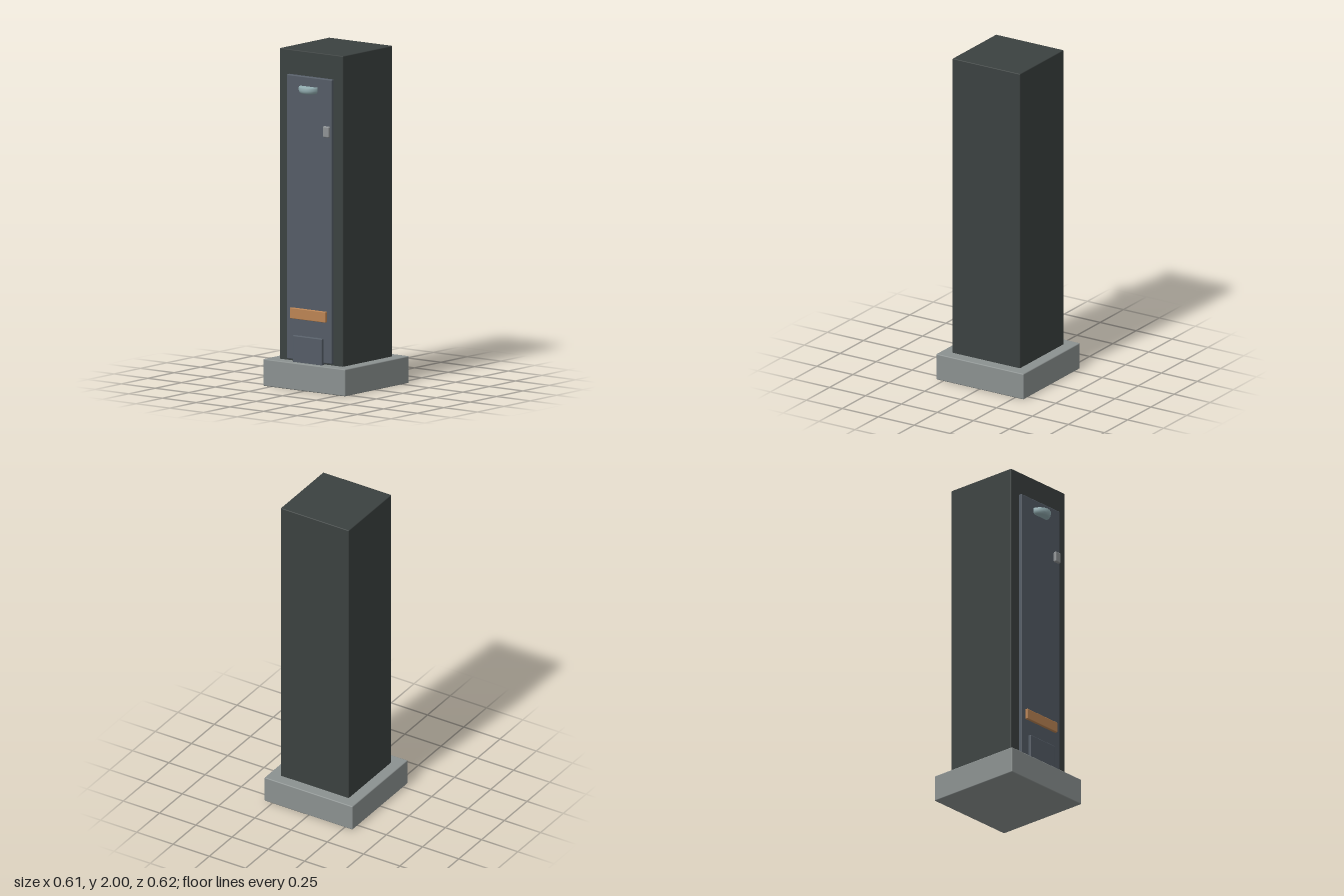
import * as THREE from 'three';
import { RoundedBoxGeometry } from 'three/addons/geometries/RoundedBoxGeometry.js';

const paint = (name, color) => {
  const m = new THREE.MeshStandardMaterial({ color });
  m.name = name;
  return m;
};

export function createModel() {
  const group = new THREE.Group();
  const stone = paint('concrete grey', 0x8b9190);
  const dark = paint('charcoal', 0x3b4140);
  const slate = paint('slate blue', 0x545c66);
  const copper = paint('copper orange', 0xbb8453);
  const steel = paint('steel grey', 0x8e9294);
  const glass = paint('pale glass', 0x94afb3);

  // Softened box given by its extents on each axis
  const block = (name, [x0, x1], [y0, y1], [z0, z1], radius, material) => {
    const geometry = new RoundedBoxGeometry(x1 - x0, y1 - y0, z1 - z0, 3, radius);
    const mesh = new THREE.Mesh(geometry, material);
    mesh.position.set((x0 + x1) / 2, (y0 + y1) / 2, (z0 + z1) / 2);
    mesh.name = name;
    group.add(mesh);
  };

  block('base', [-0.304, 0.304], [0, 0.16], [-0.31, 0.298], 0.006, stone);
  block('column', [-0.235, 0.235], [0.005, 2], [-0.241, 0.229], 0.005, dark);

  // Door and its fittings
  block('door', [-0.167, 0.167], [0.17, 1.855], [0.22, 0.25], 0.006, slate);
  block('lowerHatch', [-0.108, 0.108], [0.155, 0.317], [0.24, 0.268], 0.006, slate);
  block('warningStrip', [-0.132, 0.132], [0.414, 0.478], [0.246, 0.265], 0.004, copper);
  block('latch', [0.114, 0.158], [1.512, 1.577], [0.246, 0.268], 0.007, steel);

  // Half-round lamp with softened rims, narrower underneath
  const profile = [[0, 1.759], [0.05, 1.759], [0.058, 1.763], [0.063, 1.771],
    [0.065, 1.78], [0.065, 1.794], [0.062, 1.798], [0, 1.798]]
    .map(([r, y]) => new THREE.Vector2(r, y));
  const lamp = new THREE.Mesh(
    new THREE.LatheGeometry(profile, 24, -Math.PI / 2, Math.PI), glass);
  lamp.position.z = 0.243;
  lamp.name = 'lamp';
  group.add(lamp);

  return group;
}
